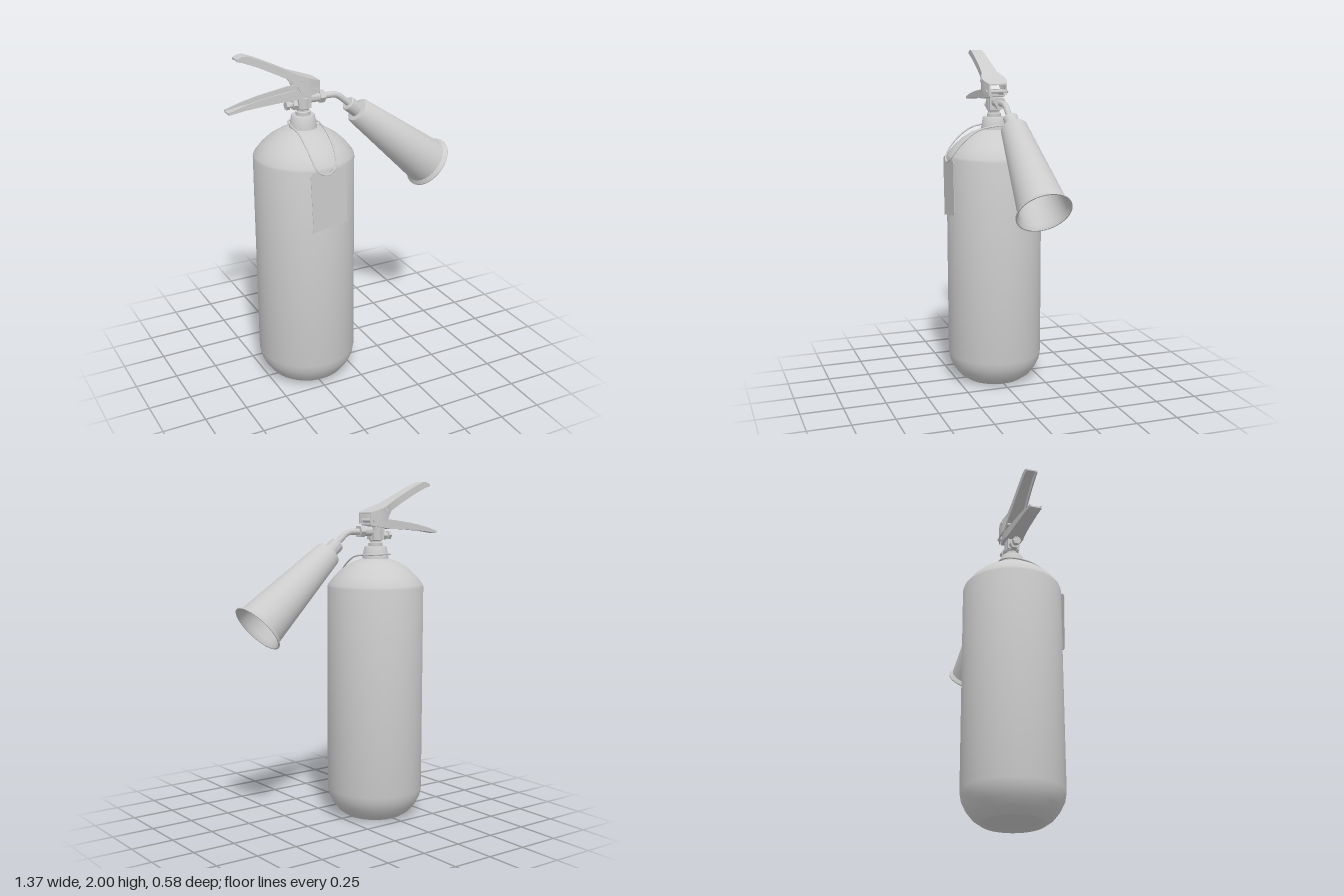
import * as THREE from 'three';
import { toCreasedNormals } from 'three/addons/utils/BufferGeometryUtils.js';

const AXIS = -0.245; // x of the tank's axis
const material = new THREE.MeshStandardMaterial({ color: 0xcccccc });
const thin = new THREE.MeshStandardMaterial({ color: 0xcccccc, side: THREE.DoubleSide });
const v = (x, y, z = 0) => new THREE.Vector3(x, y, z);

export function createModel() {
  const model = new THREE.Group();

  function add(name, geometry, position = [0, 0, 0], mat = material) {
    const mesh = new THREE.Mesh(geometry, mat);
    mesh.name = name;
    mesh.position.set(...position);
    model.add(mesh);
    return mesh;
  }

  // Revolved profile of [radius, height] pairs, sharp only at strong corners
  const lathe = (points, segments = 40) =>
    toCreasedNormals(new THREE.LatheGeometry(points.map(p => new THREE.Vector2(...p)), segments), 0.6);

  // Cylinder lying along x between x0 and x1
  function rodX(name, x0, x1, y, r, sides = 20) {
    const g = new THREE.CylinderGeometry(r, r, x1 - x0, sides);
    add(name, toCreasedNormals(g.rotateZ(Math.PI / 2), 0.6), [(x0 + x1) / 2, y, 0]);
  }

  // Folded sheet channel swept along x; stations are [x, top, bottom, halfWidth]
  function channel(stations, opensUp) {
    const t = 0.008, positions = [];
    const rings = stations.map(([x, top, bottom, w]) => {
      const web = opensUp ? bottom : top, lip = opensUp ? top : bottom;
      const inner = web + (opensUp ? t : -t);
      const ring = [[-w, lip], [-w, web], [w, web], [w, lip],
        [w - t, lip], [w - t, inner], [t - w, inner], [t - w, lip]].map(([z, y]) => [x, y, z]);
      return opensUp ? ring.reverse() : ring;
    });
    const quad = (a, b, c, d) => positions.push(...a, ...b, ...c, ...a, ...c, ...d);
    for (let i = 0; i + 1 < rings.length; i++) {
      for (let j = 0; j < 8; j++) {
        const k = (j + 1) % 8;
        quad(rings[i][j], rings[i + 1][j], rings[i + 1][k], rings[i][k]);
      }
    }
    // Close both ends
    for (let j = 0; j < 3; j++) {
      const a = rings[0], b = rings[rings.length - 1];
      quad(a[j], a[j + 1], a[6 - j], a[7 - j]);
      quad(b[7 - j], b[6 - j], b[j + 1], b[j]);
    }
    const g = new THREE.BufferGeometry();
    g.setAttribute('position', new THREE.Float32BufferAttribute(positions, 3));
    g.computeVertexNormals();
    return toCreasedNormals(g, 0.5);
  }

  // Pressure tank with rounded base and domed shoulder
  add('tank', lathe([
    [0, 0.02], [0.15, 0.012], [0.177, 0], [0.22, 0.03], [0.255, 0.075], [0.277, 0.12], [0.285, 0.165],
    [0.285, 1.385], [0.28, 1.4], [0.245, 1.445], [0.2, 1.488], [0.14, 1.527], [0.07, 1.553], [0, 1.56],
  ], 48), [AXIS, 0, 0]);

  // Neck collar and valve stem
  add('neckCollar', lathe([[0.082, 1.5], [0.078, 1.55], [0.066, 1.618], [0.062, 1.623], [0, 1.623]], 32), [AXIS, 0, 0]);
  add('valveStem', lathe([
    [0.042, 1.62], [0.042, 1.642], [0.034, 1.646], [0.034, 1.655], [0.04, 1.66], [0.04, 1.72],
    [0.03, 1.725], [0.03, 1.77], [0, 1.77],
  ], 24), [AXIS, 0, 0]);
  add('valveBlock', new THREE.BoxGeometry(0.075, 0.075, 0.07), [AXIS, 1.7, 0]);

  // Relief plug on one side, hose outlet on the other
  rodX('reliefPlug', -0.335, -0.27, 1.685, 0.016);
  rodX('reliefPlugCap', -0.35, -0.33, 1.685, 0.026, 6);
  rodX('reliefPlugNut', -0.31, -0.285, 1.685, 0.03, 6);
  rodX('outlet', -0.22, -0.14, 1.71, 0.027);
  rodX('outletNut', -0.15, -0.118, 1.71, 0.037, 6);

  // Bent discharge pipe
  const bend = new THREE.CurvePath();
  bend.add(new THREE.LineCurve3(v(-0.13, 1.71), v(-0.07, 1.71)));
  bend.add(new THREE.QuadraticBezierCurve3(v(-0.07, 1.71), v(-0.035, 1.71), v(-0.008, 1.685)));
  bend.add(new THREE.LineCurve3(v(-0.008, 1.685), v(0.045, 1.64)));
  add('dischargePipe', new THREE.TubeGeometry(bend, 32, 0.018, 16));

  // Hollow discharge horn, tilted downwards
  const horn = add('dischargeHorn', lathe([
    [0, 0], [0.036, 0], [0.042, 0.006], [0.042, 0.075], [0.068, 0.078], [0.077, 0.09],
    [0.139, 0.685], [0.157, 0.703], [0.157, 0.709], [0.15, 0.709], [0.133, 0.685], [0.07, 0.1], [0, 0.1],
  ]), [0.035, 1.645, -0.003], thin);
  horn.quaternion.setFromUnitVectors(v(0, 1), v(0.545, -0.452).normalize());

  // Squeeze lever above, carrying handle below
  add('squeezeLever', channel([
    [-0.635, 1.985, 1.972, 0.034], [-0.61, 1.997, 1.967, 0.035], [-0.58, 1.998, 1.955, 0.036],
    [-0.52, 1.974, 1.93, 0.038], [-0.4, 1.917, 1.87, 0.043], [-0.325, 1.878, 1.83, 0.05],
    [-0.3, 1.867, 1.8, 0.059], [-0.285, 1.861, 1.77, 0.066], [-0.245, 1.846, 1.765, 0.074],
    [-0.21, 1.834, 1.76, 0.069], [-0.165, 1.82, 1.755, 0.055],
  ], false), [0, 0, 0], thin);
  add('carryingHandle', channel([
    [-0.692, 1.705, 1.69, 0.035], [-0.6, 1.732, 1.704, 0.038], [-0.5, 1.753, 1.713, 0.041],
    [-0.4, 1.768, 1.72, 0.044], [-0.32, 1.778, 1.722, 0.05], [-0.245, 1.78, 1.735, 0.056],
    [-0.175, 1.776, 1.745, 0.046],
  ], true), [0, 0, 0], thin);

  // Cross pins holding the lever
  [['safetyPin', -0.273, 1.832, 0.145], ['hingePin', -0.19, 1.773, 0.136]].forEach(([name, x, y, length]) =>
    add(name, new THREE.CylinderGeometry(0.011, 0.011, length, 12).rotateX(Math.PI / 2), [x, y, 0]));

  // Cord looped round the collar, hanging over the shoulder
  const cord = new THREE.CatmullRomCurve3([
    v(AXIS, 1.578, -0.085), v(-0.31, 1.575, -0.055), v(-0.328, 1.572, 0.02), v(-0.325, 1.552, 0.12),
    v(-0.318, 1.475, 0.225), v(-0.295, 1.39, 0.286), v(-0.245, 1.362, 0.294), v(-0.19, 1.39, 0.286),
    v(-0.167, 1.475, 0.225), v(-0.165, 1.552, 0.12), v(-0.162, 1.572, 0.02), v(-0.18, 1.575, -0.055),
  ], true);
  add('cord', new THREE.TubeGeometry(cord, 80, 0.005, 8, true));

  // Tag with clipped top corners
  const tag = new THREE.Shape([
    [-0.325, 1.03], [-0.118, 1.063], [-0.128, 1.37], [-0.145, 1.396], [-0.215, 1.39],
    [-0.235, 1.365], [-0.26, 1.365], [-0.29, 1.39], [-0.325, 1.387], [-0.34, 1.365],
  ].map(p => new THREE.Vector2(...p)));
  add('tag', new THREE.ExtrudeGeometry(tag, { depth: 0.003, bevelEnabled: false }), [0, 0, 0.286]);

  return model;
}
